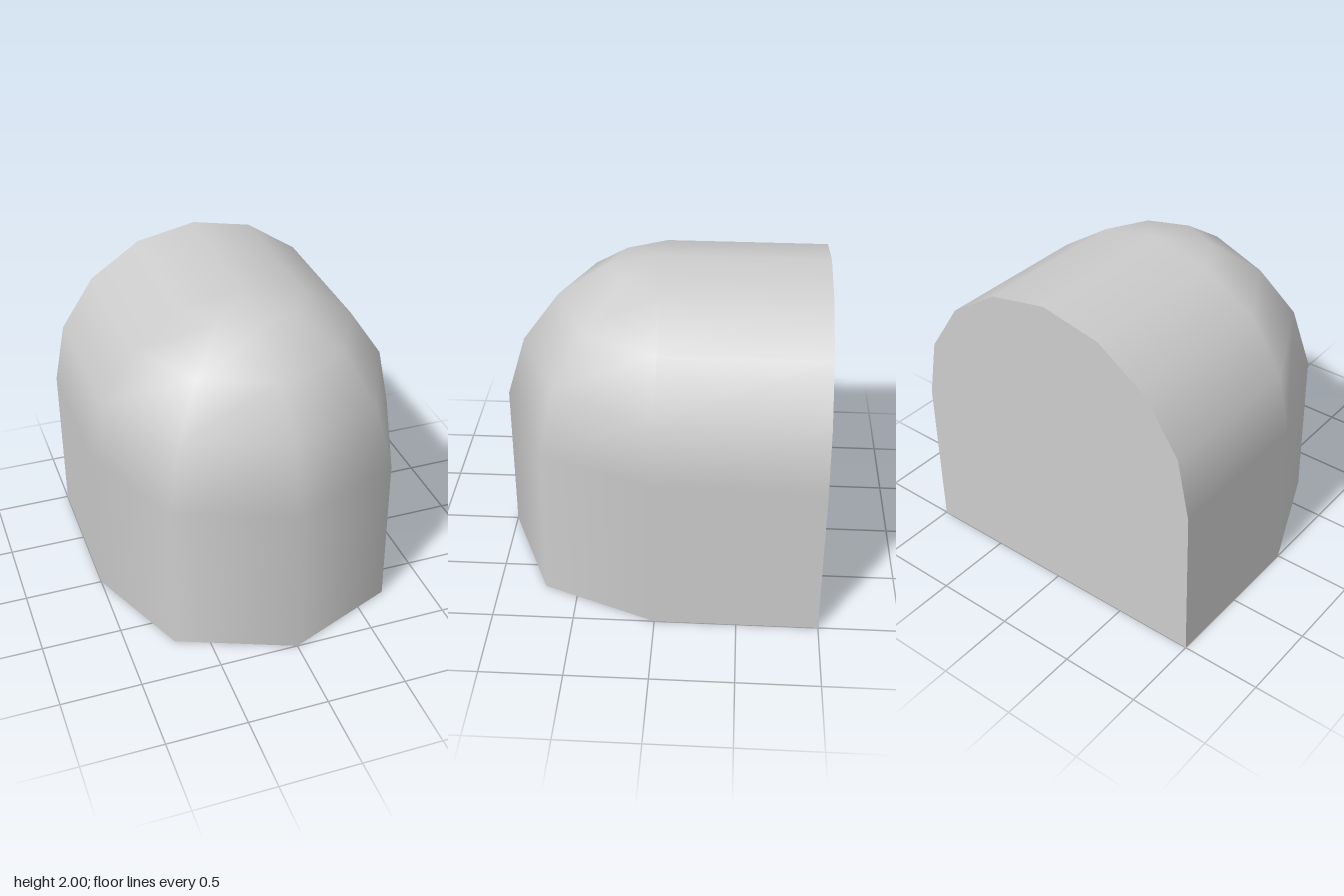
import * as THREE from 'three';

export function createModel() {
  const group = new THREE.Group();
  const grey = new THREE.MeshStandardMaterial({ color: 0xcccccc });
  grey.name = 'light grey';

  const add = (geometry, name) => {
    const mesh = new THREE.Mesh(geometry, grey);
    mesh.name = name;
    group.add(mesh);
    return mesh;
  };

  // Rows from the ground up: [arch radius, arch height, dome radius, dome height, normal tilt]
  const domeRadius = [1, 0.88, 0.65, 0.34, 0];
  const domeHeight = [1, 1.4, 1.72, 1.93, 2];
  const rows = [[1, 0, 1, 0, 0]];
  for (let i = 0; i <= 4; i++) {
    const a = (i * Math.PI) / 8;
    rows.push([Math.cos(a), 1 + Math.sin(a), domeRadius[i], domeHeight[i], a]);
  }

  // Smooth shell: straight barrel at the back running into a half dome at the front
  const columns = 7;
  const positions = [], normals = [], indices = [];
  rows.forEach(([archR, archY, domeR, domeY, tilt], row) => {
    for (let c = 0; c < columns; c++) {
      const angle = THREE.MathUtils.clamp(c - 1, 0, 4) * Math.PI / 4;
      const onArch = c < 2 || c > 4;
      const atBack = c === 0 || c === columns - 1;
      const r = onArch ? archR : domeR;
      const cx = Math.cos(angle), cz = onArch ? 0 : Math.sin(angle);
      positions.push(r * cx, onArch ? archY : domeY, atBack ? -1 : r * cz);
      normals.push(Math.cos(tilt) * cx, Math.sin(tilt), Math.cos(tilt) * cz);
      if (row < rows.length - 1 && c < columns - 1) {
        const a = row * columns + c, b = a + columns;
        indices.push(a, b, a + 1, a + 1, b, b + 1);
      }
    }
  });
  const shell = new THREE.BufferGeometry();
  shell.setAttribute('position', new THREE.Float32BufferAttribute(positions, 3));
  shell.setAttribute('normal', new THREE.Float32BufferAttribute(normals, 3));
  shell.setIndex(indices);
  add(shell, 'domedShell');

  // Flat arched back wall
  const arch = [new THREE.Vector2(-1, 0), new THREE.Vector2(1, 0)];
  for (let i = 0; i <= 8; i++) {
    const a = (i * Math.PI) / 8;
    arch.push(new THREE.Vector2(Math.cos(a), 1 + Math.sin(a)));
  }
  const back = add(new THREE.ShapeGeometry(new THREE.Shape(arch)), 'backWall');
  back.rotation.y = Math.PI;
  back.position.z = -1;

  // Flat underside
  const plan = [new THREE.Vector2(-1, -1), new THREE.Vector2(1, -1)];
  for (let i = 0; i <= 4; i++) {
    const a = (i * Math.PI) / 4;
    plan.push(new THREE.Vector2(Math.cos(a), Math.sin(a)));
  }
  add(new THREE.ShapeGeometry(new THREE.Shape(plan)), 'underside').rotation.x = Math.PI / 2;

  return group;
}
